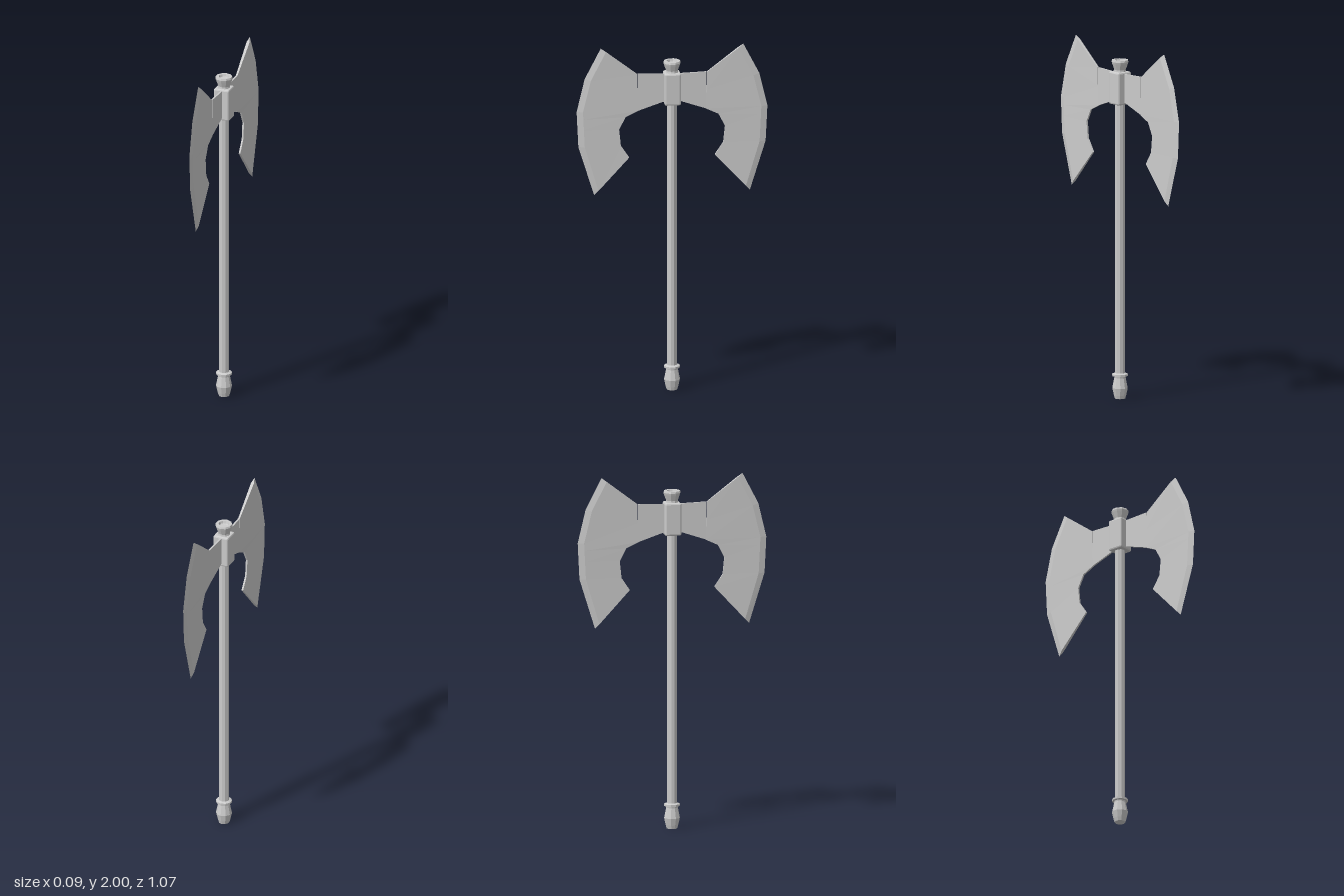
import * as THREE from 'three';
import { RoundedBoxGeometry } from 'three/addons/geometries/RoundedBoxGeometry.js';

const SIDES = 10;
const flat = new THREE.MeshStandardMaterial({ color: 0xcccccc, flatShading: true });
const blade = new THREE.MeshStandardMaterial({ color: 0xcccccc, flatShading: true, side: THREE.DoubleSide });

function add(group, name, geometry, material = flat) {
  const mesh = new THREE.Mesh(geometry, material);
  mesh.name = name;
  group.add(mesh);
  return mesh;
}

const turned = (points) =>
  new THREE.LatheGeometry(points.map(([r, y]) => new THREE.Vector2(r, y)), SIDES);

// Skin a row of closed cross-sections and cap both ends
function loft(sections) {
  const n = sections[0].length, index = [];
  for (let s = 0; s < sections.length - 1; s++) {
    for (let i = 0; i < n; i++) {
      const a = s * n + i, b = s * n + (i + 1) % n;
      index.push(a, b, a + n, b, b + n, a + n);
    }
  }
  const last = (sections.length - 1) * n;
  for (let i = 1; i < n - 1; i++) {
    index.push(0, i + 1, i, last, last + i, last + i + 1);
  }
  const g = new THREE.BufferGeometry();
  g.setAttribute('position', new THREE.Float32BufferAttribute(sections.flat(2), 3));
  g.setIndex(index);
  g.computeVertexNormals();
  return g;
}

// Crescent stations from upper to lower tip: cutting edge z, y, then inner edge z, y
const STATIONS = [
  [0.40, 2.00, 0.197, 1.845],
  [0.49, 1.825, 0.195, 1.74],
  [0.535, 1.635, 0.19, 1.63],
  [0.533, 1.59, 0.26, 1.597],
  [0.53, 1.53, 0.297, 1.525],
  [0.525, 1.43, 0.287, 1.43],
  [0.437, 1.147, 0.24, 1.36],
];

function crescent() {
  const thick = 0.009, thin = 0.005;
  return loft(STATIONS.map(([oz, oy, iz, iy]) => {
    const t = 0.035 / Math.hypot(oz - iz, oy - iy);
    const rz = oz + (iz - oz) * t, ry = oy + (iy - oy) * t;
    return [[0, oy, oz], [thick, ry, rz], [thin, iy, iz], [-thin, iy, iz], [-thick, ry, rz]];
  }));
}

// Flat web joining the crescent to the socket
function neck() {
  const t = 0.005;
  return loft([[0.03, 1.84, 1.685], [0.045, 1.84, 1.68], [0.193, 1.845, 1.63]].map(
    ([z, top, low]) => [[t, top, z], [-t, top, z], [-t, low, z], [t, low, z]]));
}

export function createModel() {
  const model = new THREE.Group();
  model.name = 'doubleAxe';

  // Handle
  const shaft = add(model, 'shaft', new THREE.CylinderGeometry(0.029, 0.029, 1.72, SIDES));
  shaft.position.y = 0.99;

  // Pommel with its collar
  add(model, 'pommel', turned([
    [0, 0], [0.03, 0], [0.036, 0.02], [0.045, 0.06], [0.033, 0.118], [0.034, 0.126],
    [0.045, 0.128], [0.045, 0.139], [0.028, 0.145],
  ]));

  // Square socket
  const socket = add(model, 'socket', new RoundedBoxGeometry(0.092, 0.185, 0.092, 1, 0.009));
  socket.position.y = 1.757;

  // Flared cap with dished top
  add(model, 'topCap', turned([
    [0.036, 1.84], [0.033, 1.86], [0.046, 1.895], [0.049, 1.905], [0.046, 1.915],
    [0.03, 1.915], [0.026, 1.902], [0.018, 1.9], [0, 1.9],
  ]));

  // Two matching blades
  for (const side of ['front', 'back']) {
    const half = new THREE.Group();
    half.name = side + 'Blade';
    add(half, side + 'Crescent', crescent(), blade);
    add(half, side + 'Neck', neck(), blade);
    if (side === 'back') half.rotation.y = Math.PI;
    model.add(half);
  }
  return model;
}
